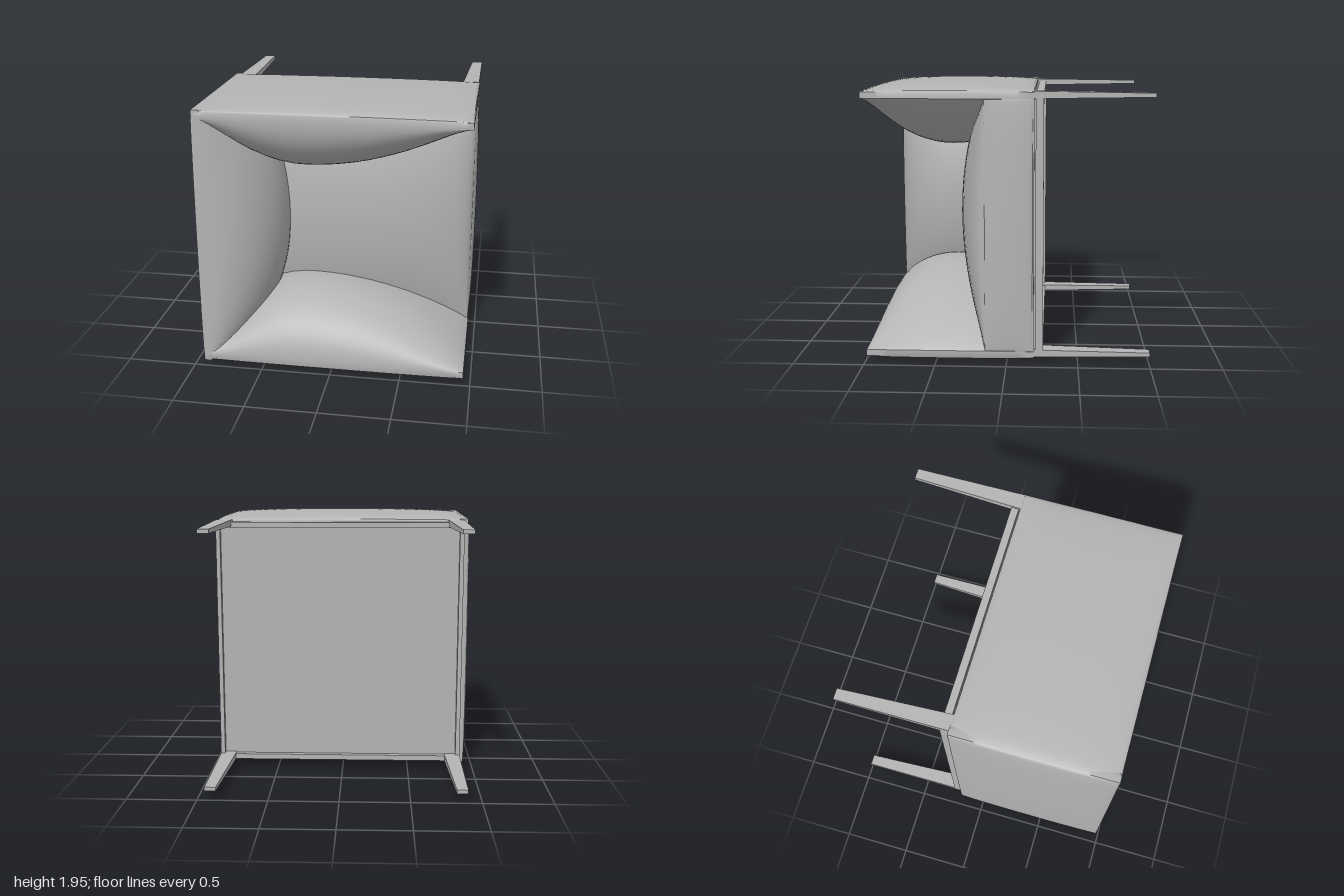
import * as THREE from 'three';
import { toCreasedNormals } from 'three/addons/utils/BufferGeometryUtils.js';

const H = 1.96; // overall height, used to mirror parts in y
const grey = new THREE.MeshStandardMaterial({ color: 0xb4b4b4 });
grey.name = 'grey';

// 0 at both ends of t in [0,1], 1 at the peak
function bulge(t, peak, power) {
  const u = t > peak ? (t - peak) / (1 - peak) : (peak - t) / peak;
  return Math.pow(Math.max(0, 1 - u * u), power);
}

// Upholstered pad: a box whose inner (w+) and outer (w-) faces are inflated.
// place(u, v, w) turns pad coordinates into model coordinates.
function pad(name, { u, v, inner, outer, swell, outSwell, peak, power }, place) {
  const geo = new THREE.BoxGeometry(1, 1, 1, 28, 28, 1);
  const p = geo.attributes.position;
  const ease = (s) => (1 - Math.cos(Math.PI * (s + 0.5))) / 2; // denser near the rims
  for (let i = 0; i < p.count; i++) {
    const a = ease(p.getX(i)), b = ease(p.getY(i));
    const w = p.getZ(i) > 0
      ? inner + swell * bulge(a, peak[0], power[0]) * bulge(b, peak[1], power[1])
      : outer - outSwell * bulge(a, 0.5, 0.35) * bulge(b, 0.5, 0.35);
    p.setXYZ(i, ...place(u[0] + (u[1] - u[0]) * a, v[0] + (v[1] - v[0]) * b, w));
  }
  const mesh = new THREE.Mesh(toCreasedNormals(geo, 0.7), grey);
  mesh.name = name;
  return mesh;
}

// Box given by its two corners
function block(name, a, b) {
  const geo = new THREE.BoxGeometry(b[0] - a[0], b[1] - a[1], b[2] - a[2]);
  geo.translate((a[0] + b[0]) / 2, (a[1] + b[1]) / 2, (a[2] + b[2]) / 2);
  const mesh = new THREE.Mesh(geo, grey);
  mesh.name = name;
  return mesh;
}

// Flat tapered leg with a straight outer edge
function leg(name, outerX, y) {
  const side = Math.sign(outerX);
  const geo = new THREE.BoxGeometry(1, 1, 1);
  const p = geo.attributes.position;
  for (let i = 0; i < p.count; i++) {
    const top = p.getZ(i) > 0;
    const inward = 0.5 - side * p.getX(i);
    p.setXYZ(i,
      outerX - side * inward * (top ? 0.118 : 0.08),
      y + p.getY(i) * (top ? 0.05 : 0.028),
      top ? -0.185 : -1);
  }
  geo.computeVertexNormals();
  const mesh = new THREE.Mesh(geo, grey);
  mesh.name = name;
  return mesh;
}

export function createModel() {
  const chair = new THREE.Group();
  chair.name = 'armchair';

  // Armrests, mirrored in y
  const x = [-0.93, 0.95], z = [-0.19, 0.985];
  const arm = { inner: 0.1, outer: 0.055, swell: 0.42, outSwell: 0.05 };
  chair.add(pad('lowerArmrest',
    { ...arm, u: z, v: x, peak: [0.55, 0.37], power: [0.5, 0.9] },
    (a, b, w) => [b, w, a]));
  chair.add(pad('upperArmrest',
    { ...arm, u: x, v: z, peak: [0.37, 0.55], power: [0.9, 0.5] },
    (a, b, w) => [a, H - w, b]));

  // Backrest
  chair.add(pad('backrest', {
    u: [0.04, H - 0.04], v: z, inner: -0.88, outer: -0.93,
    swell: 0.48, outSwell: 0.04, peak: [0.5, 0.55], power: [0.5, 0.5],
  }, (a, b, w) => [w, a, b]));

  // Seat cushion and its rounded front
  chair.add(pad('seat', {
    u: [-0.92, 0.945], v: [0.09, H - 0.09], inner: 0.15, outer: -0.19,
    swell: 0.23, outSwell: 0, peak: [0.45, 0.5], power: [0.5, 0.7],
  }, (a, b, w) => [a, b, w]));
  chair.add(pad('seatFront', {
    u: [0.09, H - 0.09], v: [-0.18, 0.15], inner: 0.944, outer: 0.9,
    swell: 0.024, outSwell: 0, peak: [0.5, 0.5], power: [0.5, 0.5],
  }, (a, b, w) => [w, a, b]));

  // Underside board and rails
  chair.add(block('bottomBoard', [-0.88, 0.1, -0.215], [0.92, H - 0.1, -0.18]));
  chair.add(block('lowerRail', [-0.9, 0.065, -0.255], [0.945, 0.105, -0.2]));
  chair.add(block('upperRail', [-0.9, H - 0.105, -0.255], [0.945, H - 0.065, -0.2]));
  chair.add(block('rearRail', [-0.9, 0.1, -0.255], [-0.868, H - 0.1, -0.2]));
  chair.add(block('frontRail', [0.913, 0.1, -0.255], [0.945, H - 0.1, -0.2]));

  // Legs
  for (const [row, y] of [['lower', 0.087], ['upper', H - 0.073]]) {
    chair.add(leg(row + 'FrontLeg', 0.945, y));
    chair.add(leg(row + 'RearLeg', -0.9, y));
  }
  return chair;
}
